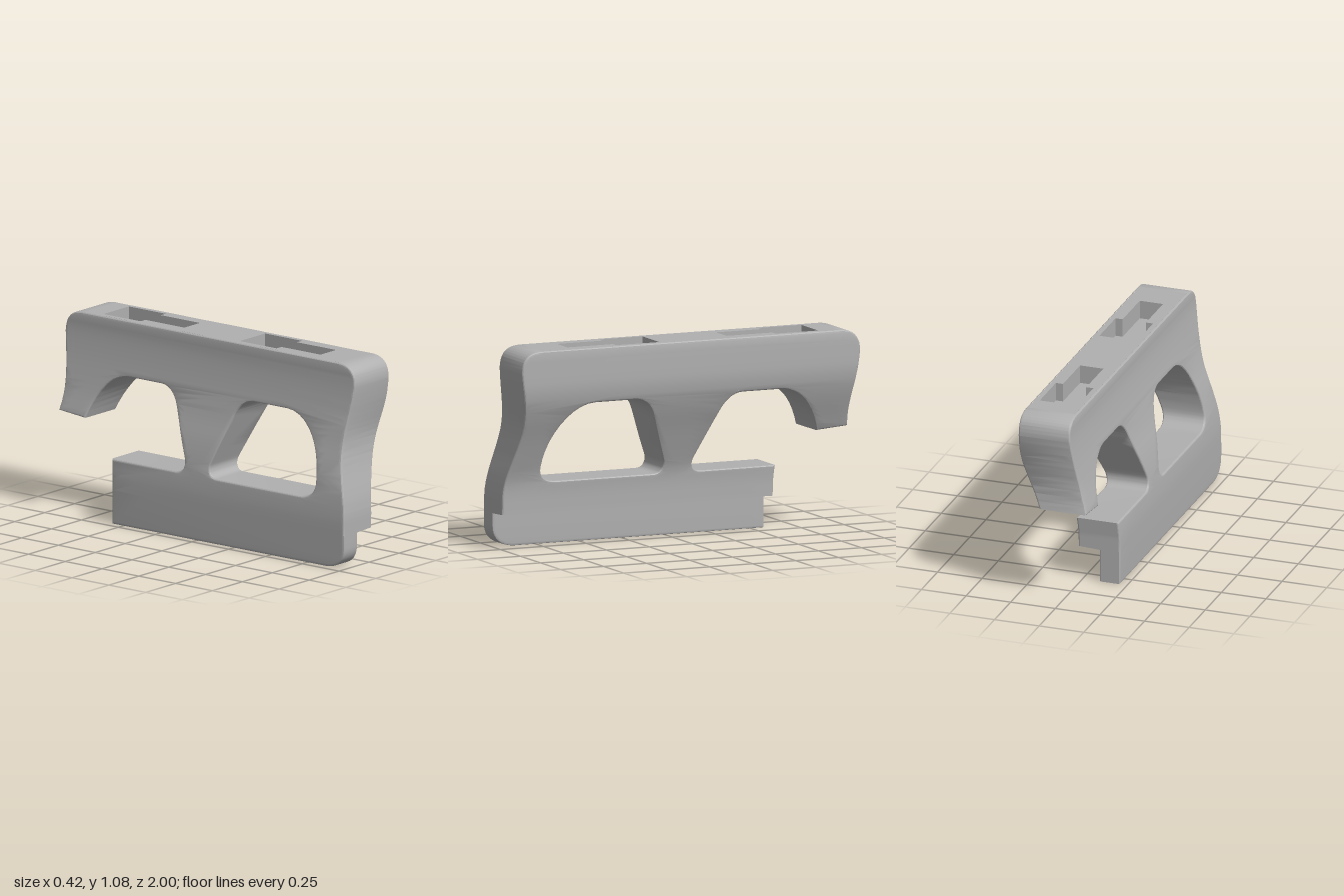
import * as THREE from 'three';
import { toCreasedNormals } from 'three/addons/utils/BufferGeometryUtils.js';

const TOP = 1.075, BEVEL = 0.012, STEP = 0.183;

// Side faces of the plate: x as a smooth function of height
function profile(points) {
  const pts = new THREE.SplineCurve(points.map(([y, x]) => new THREE.Vector2(y, x))).getPoints(90);
  return y => {
    if (y <= pts[0].x) return pts[0].y;
    for (let i = 1; i < pts.length; i++) {
      if (y <= pts[i].x) {
        const a = pts[i - 1], b = pts[i];
        return a.y + (b.y - a.y) * (y - a.x) / Math.max(b.x - a.x, 1e-6);
      }
    }
    return pts[pts.length - 1].y;
  };
}
const xMin = profile([[0, -0.21], [0.15, -0.21], [0.27, -0.209], [0.4, -0.196], [0.53, -0.17],
  [0.66, -0.135], [0.8, -0.106], [0.9, -0.09], [0.98, -0.081], [1.03, -0.08], [TOP, -0.08]]);
const xMaxUpper = profile([[0.18, 0.024], [0.27, 0.026], [0.34, 0.032], [0.4, 0.047], [0.5, 0.083],
  [0.6, 0.121], [0.7, 0.162], [0.78, 0.19], [0.84, 0.203], [0.9, 0.208], [TOP, 0.208]]);
const xMax = y => (y < STEP ? -0.096 : xMaxUpper(y));

// Outline seen from +x, horizontal axis is -z
function plateShape() {
  const s = new THREE.Shape();
  s.moveTo(-0.87, 0);
  s.lineTo(0.577, 0);
  s.lineTo(0.577, 0.26);
  s.lineTo(0.585, 0.35);
  s.lineTo(0.15, 0.35);
  s.bezierCurveTo(0.1, 0.35, 0.085, 0.39, 0.102, 0.43);
  s.lineTo(0.21, 0.69);
  s.quadraticCurveTo(0.25, 0.78, 0.33, 0.78);
  s.lineTo(0.54, 0.78);
  s.bezierCurveTo(0.66, 0.78, 0.75, 0.67, 0.795, 0.53);
  s.lineTo(0.975, 0.545);
  s.bezierCurveTo(0.945, 0.69, 0.985, 0.82, 1.0, 0.96);
  s.bezierCurveTo(1.0, 1.04, 0.955, TOP, 0.88, TOP);
  s.lineTo(-0.85, TOP);
  s.bezierCurveTo(-0.93, TOP, -0.97, 1.04, -0.97, 0.96);
  s.bezierCurveTo(-0.96, 0.84, -0.935, 0.76, -0.935, 0.66);
  s.bezierCurveTo(-0.935, 0.52, -1.0, 0.39, -1.0, 0.26);
  s.lineTo(-1.0, 0.11);
  s.bezierCurveTo(-1.0, 0.04, -0.95, 0, -0.87, 0);

  const h = new THREE.Path();
  h.moveTo(-0.69, 0.35);
  h.lineTo(-0.125, 0.35);
  h.bezierCurveTo(-0.08, 0.35, -0.062, 0.39, -0.08, 0.43);
  h.lineTo(-0.185, 0.69);
  h.quadraticCurveTo(-0.225, 0.78, -0.31, 0.78);
  h.lineTo(-0.53, 0.78);
  h.bezierCurveTo(-0.68, 0.78, -0.79, 0.59, -0.79, 0.43);
  h.bezierCurveTo(-0.79, 0.38, -0.755, 0.35, -0.69, 0.35);
  s.holes.push(h);
  return s;
}

// Split every triangle that crosses a horizontal plane
function sliceAt(tris, level) {
  const out = [];
  for (const t of tris) {
    const d = t.map(p => (Math.abs(p.y - level) < 1e-6 ? 0 : p.y - level));
    if (Math.min(...d) >= 0 || Math.max(...d) <= 0) { out.push(t); continue; }
    for (const side of [1, -1]) {
      const poly = [];
      for (let i = 0; i < 3; i++) {
        const j = (i + 1) % 3;
        if (d[i] * side >= 0) poly.push(t[i]);
        if (d[i] * d[j] < 0) {
          const p = t[i].clone().lerp(t[j], d[i] / (d[i] - d[j]));
          p.y = level;
          poly.push(p);
        }
      }
      for (let i = 2; i < poly.length; i++) out.push([poly[0], poly[i - 1], poly[i]]);
    }
  }
  return out;
}

function bodyGeometry() {
  const edge = 0.04; // bevel as a share of the plate thickness
  let g = new THREE.ExtrudeGeometry(plateShape(), {
    depth: 1 - 2 * edge, bevelThickness: edge, bevelSize: BEVEL, bevelOffset: -BEVEL,
    bevelSegments: 3, curveSegments: 10,
  });
  g.translate(0, 0, edge);
  g.rotateY(Math.PI / 2);
  if (g.index) g = g.toNonIndexed();
  const pos = g.attributes.position;
  let tris = [];
  for (let i = 0; i < pos.count; i += 3) {
    tris.push([0, 1, 2].map(k => new THREE.Vector3().fromBufferAttribute(pos, i + k)));
  }
  // The flat top is left open for the pocket block
  tris = tris.filter(t => !t.every(p => p.y > TOP - 1e-4));
  tris = sliceAt(sliceAt(tris, STEP - 0.003), STEP + 0.003);
  for (let y = 0.24; y < 1.03; y += 0.03) tris = sliceAt(tris, y);

  // Bend the plate sideways and set its thickness
  const flat = [];
  for (const t of tris) {
    for (const p of t) flat.push(THREE.MathUtils.lerp(xMin(p.y), xMax(p.y), p.x), p.y, p.z);
  }
  const out = new THREE.BufferGeometry();
  out.setAttribute('position', new THREE.Float32BufferAttribute(flat, 3));
  return toCreasedNormals(out, 0.3);
}

// T-shaped pocket outline, its wide end at the back
function pocketPoints(shift) {
  return [[-0.04, 0.77], [-0.04, 0.52], [0, 0.52], [0, 0.255], [0.13, 0.255], [0.13, 0.52], [0.17, 0.52], [0.17, 0.77]]
    .map(([x, u]) => new THREE.Vector2(x, u + shift));
}

export function createModel() {
  const model = new THREE.Group();
  const grey = new THREE.MeshStandardMaterial({ color: 0xb0b0b0 });
  grey.name = 'grey';
  const add = (name, geometry) => {
    const mesh = new THREE.Mesh(geometry, grey);
    mesh.name = name;
    model.add(mesh);
    return mesh;
  };

  add('curvedPlate', bodyGeometry());

  // Top face with two pockets
  const depth = 0.1, x0 = -0.08 + BEVEL, x1 = 0.208 - BEVEL;
  const top = new THREE.Shape([[x0, -0.85], [x1, -0.85], [x1, 0.88], [x0, 0.88]]
    .map(([x, u]) => new THREE.Vector2(x, u)));
  for (const [name, shift] of [['rear', 0], ['front', -0.925]]) {
    const points = pocketPoints(shift);
    top.holes.push(new THREE.Path(points));
    const floor = new THREE.ShapeGeometry(new THREE.Shape(points));
    floor.rotateX(-Math.PI / 2);
    add(name + 'PocketFloor', floor).position.y = TOP - depth;
  }
  const block = new THREE.ExtrudeGeometry(top, { depth, bevelEnabled: false });
  block.rotateX(-Math.PI / 2);
  add('topFaceWithPockets', block).position.y = TOP - depth;

  return model;
}
